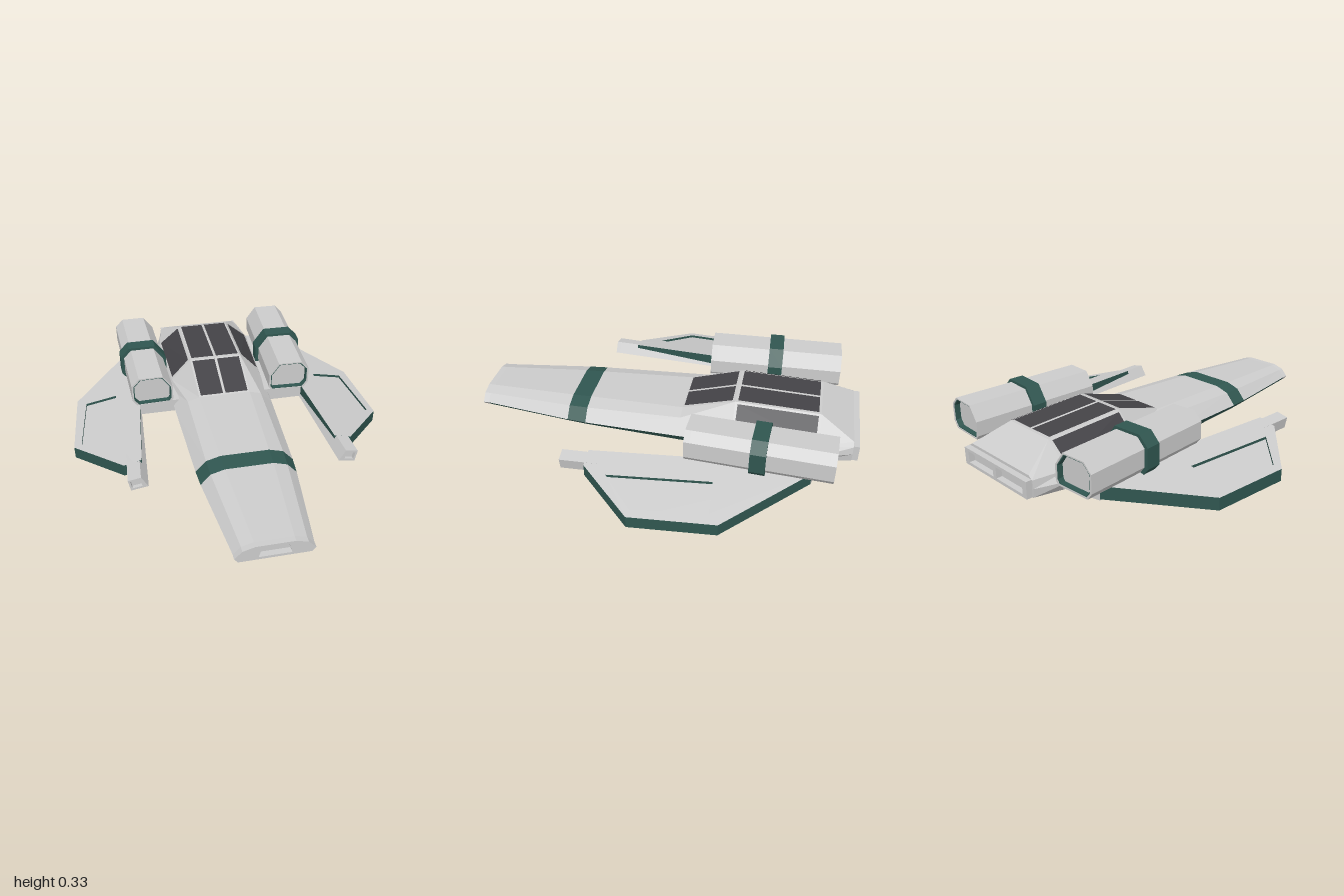
import * as THREE from 'three';

const mat = (color) => new THREE.MeshStandardMaterial({ color, flatShading: true, side: THREE.DoubleSide });
const grey = mat(0xcccccc), green = mat(0x305650), glass = mat(0x444347);

const path = (pts) => pts.map(([x, y]) => new THREE.Vector2(x, y));
const rect = (x0, y0, x1, y1) => [[x0, y0], [x1, y0], [x1, y1], [x0, y1]];

function shapeOf(pts, holes = []) {
  const s = new THREE.Shape(path(pts));
  holes.forEach((h) => s.holes.push(new THREE.Path(path(h))));
  return s;
}

// Prism along z from z0 to z1
function prism(pts, z0, z1, holes) {
  return new THREE.ExtrudeGeometry(shapeOf(pts, holes), { depth: z1 - z0, bevelEnabled: false }).translate(0, 0, z0);
}

// Scale a profile about a centre point
const grow = (pts, k, cx = 0, cy = 0) => pts.map(([x, y]) => [cx + (x - cx) * k, cy + (y - cy) * k]);

// Mirror in x and restore the winding
function mirrored(geo) {
  const g = (geo.index ? geo.toNonIndexed() : geo.clone()).scale(-1, 1, 1);
  const p = g.attributes.position;
  for (let i = 0; i < p.count; i += 3) {
    const b = new THREE.Vector3().fromBufferAttribute(p, i + 1);
    const c = new THREE.Vector3().fromBufferAttribute(p, i + 2);
    p.setXYZ(i + 1, c.x, c.y, c.z);
    p.setXYZ(i + 2, b.x, b.y, b.z);
  }
  g.computeVertexNormals();
  return g;
}

function fromTriangles(list) {
  const g = new THREE.BufferGeometry();
  g.setAttribute('position', new THREE.Float32BufferAttribute(list, 3));
  g.computeVertexNormals();
  return g;
}

// Hull sections: z, then bottom, chine, shoulder and top corners of one side
const SECTIONS = [
  [0.97, [0.165, 0.08], [0.183, 0.102], [0.147, 0.14], [0.09, 0.157]],
  [0.5, [0.205, 0.069], [0.24, 0.104], [0.19, 0.16], [0.12, 0.181]],
  [0.4, [0.212, 0.067], [0.248, 0.105], [0.195, 0.164], [0.122, 0.185]],
  [-0.1, [0.235, 0.065], [0.27, 0.115], [0.205, 0.185], [0.14, 0.204]],
  [-0.37, [0.245, 0.065], [0.28, 0.12], [0.255, 0.165], [0.145, 0.284]],
  [-0.8, [0.26, 0.068], [0.3, 0.125], [0.27, 0.168], [0.145, 0.272]],
  [-0.97, [0.245, 0.086], [0.25, 0.13], [0.245, 0.17], [0.22, 0.186]],
];
const ring = ([, ...h]) => [...h, ...h.slice().reverse().map(([x, y]) => [-x, y])];

export function createModel() {
  const model = new THREE.Group();
  const add = (name, geo, m, parent = model) => {
    const mesh = new THREE.Mesh(geo, m);
    mesh.name = name;
    parent.add(mesh);
  };
  const addPair = (name, geo, m) => {
    add(name + 'Left', geo, m);
    add(name + 'Right', mirrored(geo), m);
  };

  // Faceted hull with a green nose stripe and lower chine
  const hullTris = [], trimTris = [];
  for (let s = 0; s < SECTIONS.length - 1; s++) {
    const f = ring(SECTIONS[s]), b = ring(SECTIONS[s + 1]);
    const zf = SECTIONS[s][0], zb = SECTIONS[s + 1][0];
    for (let i = 0; i < 8; i++) {
      const j = (i + 1) % 8;
      const chine = (i === 0 || i === 6) && s < 4;
      const stripe = s === 1 && i !== 7;
      (chine || stripe ? trimTris : hullTris).push(
        ...f[i], zf, ...b[i], zb, ...b[j], zb,
        ...f[i], zf, ...b[j], zb, ...f[j], zf);
    }
  }
  add('hull', fromTriangles(hullTris), grey);
  add('hullTrim', fromTriangles(trimTris), green);

  // Nose and tail ends with open recesses
  const noseRing = ring(SECTIONS[0]);
  const tailRing = rect(-0.24, 0.087, 0.24, 0.172);
  add('noseBulkhead', new THREE.ShapeGeometry(shapeOf(noseRing)).translate(0, 0, 0.97), grey);
  add('noseFrame', prism(noseRing, 0.97, 1, [[[-0.075, 0.093], [0.075, 0.093], [0.06, 0.145], [-0.06, 0.145]]]), grey);
  add('tailBulkhead', new THREE.ShapeGeometry(shapeOf(ring(SECTIONS[6]))).rotateY(Math.PI).translate(0, 0, -0.97), grey);
  add('tailFrame', prism(tailRing, -1, -0.97,
    [rect(-0.21, 0.102, -0.012, 0.158), rect(0.012, 0.102, 0.21, 0.158)]), grey);

  // Canopy panes laid on the hull facets
  const corner = (s, k, side = 1) =>
    new THREE.Vector3(side * SECTIONS[s][k + 1][0], SECTIONS[s][k + 1][1], SECTIONS[s][0]);
  const pane = (a, b, c, d, u0, u1, v0, v1) => {
    const n = b.clone().sub(a).cross(d.clone().sub(a)).normalize().multiplyScalar(0.004);
    const at = (u, v) => a.clone().lerp(b, u).lerp(d.clone().lerp(c, u), v).add(n).toArray();
    const [p, q, r, t] = [at(u0, v0), at(u1, v0), at(u1, v1), at(u0, v1)];
    return fromTriangles([...p, ...q, ...r, ...p, ...r, ...t]);
  };
  const facet = (s) => [corner(s, 3, -1), corner(s, 3), corner(s + 1, 3), corner(s + 1, 3, -1)];
  addPair('windshieldPane', pane(...facet(3), 0.525, 0.965, 0.03, 0.95), glass);
  addPair('roofPane', pane(...facet(4), 0.525, 0.965, 0.03, 0.97), glass);
  addPair('sidePane', pane(corner(4, 3), corner(4, 2), corner(5, 2), corner(5, 3), 0.07, 0.93, 0.03, 0.97), glass);

  // Wings: plan outline extruded downwards, then drooped beyond the fold
  const FOLD = 0.46;
  const slab = (plan, drop, thick, holes) => {
    const g = new THREE.ExtrudeGeometry(shapeOf(plan, holes), { depth: thick, bevelEnabled: false }).rotateX(Math.PI / 2);
    const p = g.attributes.position;
    for (let i = 0; i < p.count; i++) {
      p.setY(i, p.getY(i) + 0.152 - drop - 0.233 * Math.max(0, p.getX(i) - FOLD));
    }
    g.computeVertexNormals();
    return g;
  };
  const rootPlan = [[0.2, -0.18], [FOLD, -0.18], [FOLD, -0.78], [0.2, -0.84]];
  const wingPlan = [[FOLD, -0.18], [0.5, 0.3], [0.59, 0.3], [0.83, 0.03], [0.8, -0.39], [FOLD, -0.78]];
  const inset = [[0.58, -0.33], [0.75, -0.34], [0.79, 0.02], [0.625, 0.18]].map(([x, z]) => [x, z]);
  addPair('wingRoot', slab(rootPlan, 0, 0.07), grey);
  addPair('wingSkin', slab(wingPlan, 0, 0.014, [inset]), [grey, green]);
  addPair('wingPanel', slab(wingPlan, 0.014, 0.05), [grey, green]);

  // Gun beside the inner wing edge, with a recessed muzzle
  const place = (g, yaw, x, y, z, roll = 0) => g.rotateZ(roll).rotateY(yaw).translate(x, y, z);
  const gunProfile = [[-0.052, -0.032], [0.036, -0.032], [0.036, 0.03], [-0.03, 0.03]];
  const gun = (g) => place(g, 0.05, 0.525, 0.104, 0.125, -0.2);
  addPair('gunBody', gun(prism(gunProfile, -0.305, 0.285)), grey);
  addPair('gunMuzzle', gun(prism(gunProfile, 0.285, 0.305, [rect(-0.024, -0.021, 0.026, 0.02)])), grey);

  // Engine pods: octagonal body, recessed ends lined in green, and a raised band
  const podProfile = [[-0.1, 0.145], [0.085, 0.145], [0.112, 0.18], [0.112, 0.27],
    [0.07, 0.314], [-0.06, 0.312], [-0.112, 0.24], [-0.112, 0.165]];
  const scaled = (k) => grow(podProfile, k, 0, 0.23);
  const pod = (g) => place(g, -0.043, 0.4, 0, -0.53);
  addPair('podBody', pod(prism(podProfile, -0.325, 0.325)), grey);
  addPair('podBand', pod(prism(scaled(1.16), -0.038, 0.038)), green);
  for (const [end, z0, z1] of [['Front', 0.325, 0.355], ['Rear', -0.355, -0.325]]) {
    addPair('podRim' + end, pod(prism(podProfile, z0, z1, [scaled(0.92)])), grey);
    const inner = end === 'Front' ? [z0, z1 - 0.003] : [z0 + 0.003, z1];
    addPair('podLining' + end, pod(prism(scaled(0.92), ...inner, [scaled(0.87)])), green);
  }
  return model;
}
